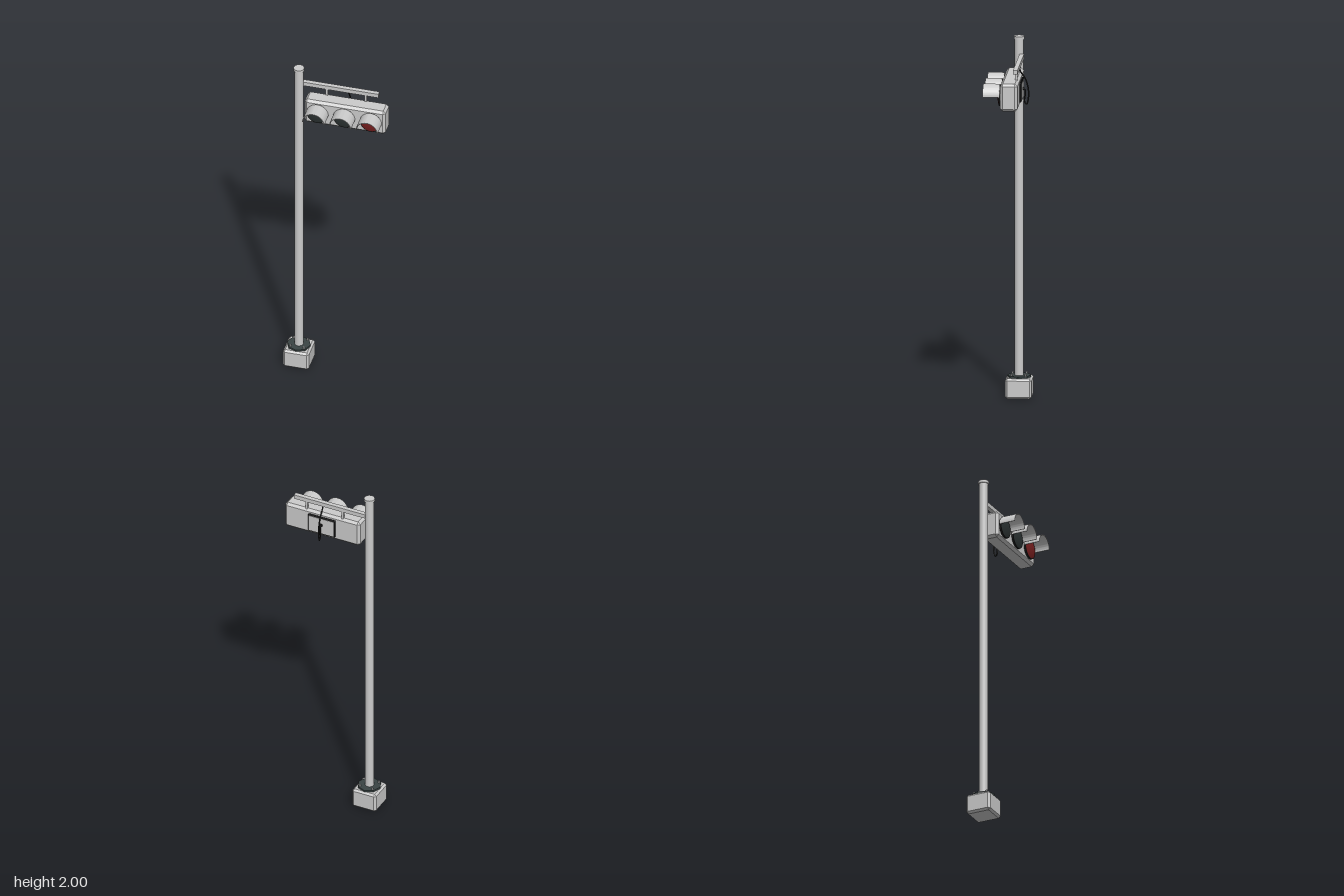
import * as THREE from 'three';
import { toCreasedNormals } from 'three/addons/utils/BufferGeometryUtils.js';
import { ConvexGeometry } from 'three/addons/geometries/ConvexGeometry.js';

const paint = (color) => new THREE.MeshStandardMaterial({ color });
const grey = paint(0xcccccc);
const dark = paint(0x3a4444);
const black = paint(0x1c1c1c);
const lensDark = paint(0x2c3333);
const lensRed = paint(0x7a2020);

// Box with every edge cut at 45 degrees
function chamferBox(w, h, d, c) {
  const points = [];
  for (const x of [-1, 1]) for (const y of [-1, 1]) for (const z of [-1, 1]) {
    for (let face = 0; face < 3; face++) {
      points.push(new THREE.Vector3(
        x * (w / 2 - (face === 0 ? 0 : c)),
        y * (h / 2 - (face === 1 ? 0 : c)),
        z * (d / 2 - (face === 2 ? 0 : c))));
    }
  }
  return new ConvexGeometry(points);
}

// Half-round hood open at the bottom, running along +z
function visorGeometry(outer, inner, length) {
  const shape = new THREE.Shape();
  shape.absarc(0, 0, outer, 0, Math.PI, false);
  shape.absarc(0, 0, inner, Math.PI, 0, true);
  const geometry = new THREE.ExtrudeGeometry(shape, { depth: length, bevelEnabled: false, curveSegments: 24 });
  return toCreasedNormals(geometry, 0.6);
}

export function createModel() {
  const group = new THREE.Group();
  const add = (name, geometry, material, x, y, z, parent = group) => {
    const mesh = new THREE.Mesh(geometry, material);
    mesh.name = name;
    mesh.position.set(x, y, z);
    parent.add(mesh);
    return mesh;
  };
  const box = (w, h, d) => new THREE.BoxGeometry(w, h, d);
  const rod = (r, h, sides) => new THREE.CylinderGeometry(r, r, h, sides);

  // Footing, octagonal flange and bolts
  const px = -0.215, pz = -0.041;
  add('footing', chamferBox(0.145, 0.112, 0.145, 0.011), grey, px, 0.056, pz);
  const flangeGeometry = toCreasedNormals(rod(0.065, 0.01, 8), 0.3);
  add('flange', flangeGeometry, dark, px, 0.117, pz);
  for (const sx of [-1, 1]) for (const sz of [-1, 1]) {
    add('bolt', rod(0.005, 0.012, 12), grey, px + sx * 0.038, 0.127, pz + sz * 0.038);
  }

  // Pole with a flat cap
  add('pole', rod(0.0245, 1.87, 32), grey, px, 1.055, pz);
  add('poleCap', rod(0.029, 0.016, 32), grey, px, 1.992, pz);

  // Arm and hangers
  const armZ = -0.057;
  add('arm', box(0.43, 0.024, 0.025), grey, 0.014, 1.892, armZ);
  for (const x of [-0.062, 0.156]) {
    add('hanger', box(0.013, 0.06, 0.013), grey, x, 1.856, armZ);
  }

  // Signal housing
  const cx = 0.058, cy = 1.76;
  add('housing', chamferBox(0.454, 0.153, 0.094, 0.014), grey, cx, cy, -0.025);

  // Three lamps, each with a drum, shallow domed lens and hood
  const lensProfile = [[0.054, 0], [0.045, 0.003], [0.03, 0.006], [0.015, 0.0075], [0, 0.008]]
    .map(([r, y]) => new THREE.Vector2(r, y));
  const lensGeometry = new THREE.LatheGeometry(lensProfile, 32);
  const hood = visorGeometry(0.0615, 0.058, 0.09);
  [-0.093, 0.0565, 0.206].forEach((x, i) => {
    const lamp = new THREE.Group();
    lamp.name = 'lamp';
    lamp.position.set(x, cy, 0.022);
    group.add(lamp);
    add('drum', rod(0.058, 0.012, 32), black, 0, 0, 0.005, lamp).rotation.x = Math.PI / 2;
    add('lens', lensGeometry, i === 2 ? lensRed : lensDark, 0, 0, 0.0112, lamp).rotation.x = Math.PI / 2;
    add('visor', hood, grey, 0, 0, 0.006, lamp);
  });

  // Service panel on the back with a dark gasket
  const panelX = 0.056;
  add('panelGasket', chamferBox(0.164, 0.108, 0.012, 0.003), black, panelX, cy, -0.076);
  add('panel', box(0.15, 0.094, 0.004), grey, panelX, cy, -0.0825);
  const socket = add('cableSocket', rod(0.009, 0.007, 16), black, panelX, 1.767, -0.087);
  socket.rotation.x = Math.PI / 2;

  // Cable looping from the arm down to the socket
  const cablePath = new THREE.CatmullRomCurve3([
    [1.885, -0.058], [1.862, -0.07], [1.82, -0.098], [1.76, -0.114], [1.71, -0.113],
    [1.68, -0.104], [1.695, -0.093], [1.735, -0.096], [1.763, -0.094], [1.767, -0.082],
  ].map(([y, z]) => new THREE.Vector3(panelX, y, z)));
  add('cable', new THREE.TubeGeometry(cablePath, 60, 0.004, 8), black, 0, 0, 0);

  return group;
}
